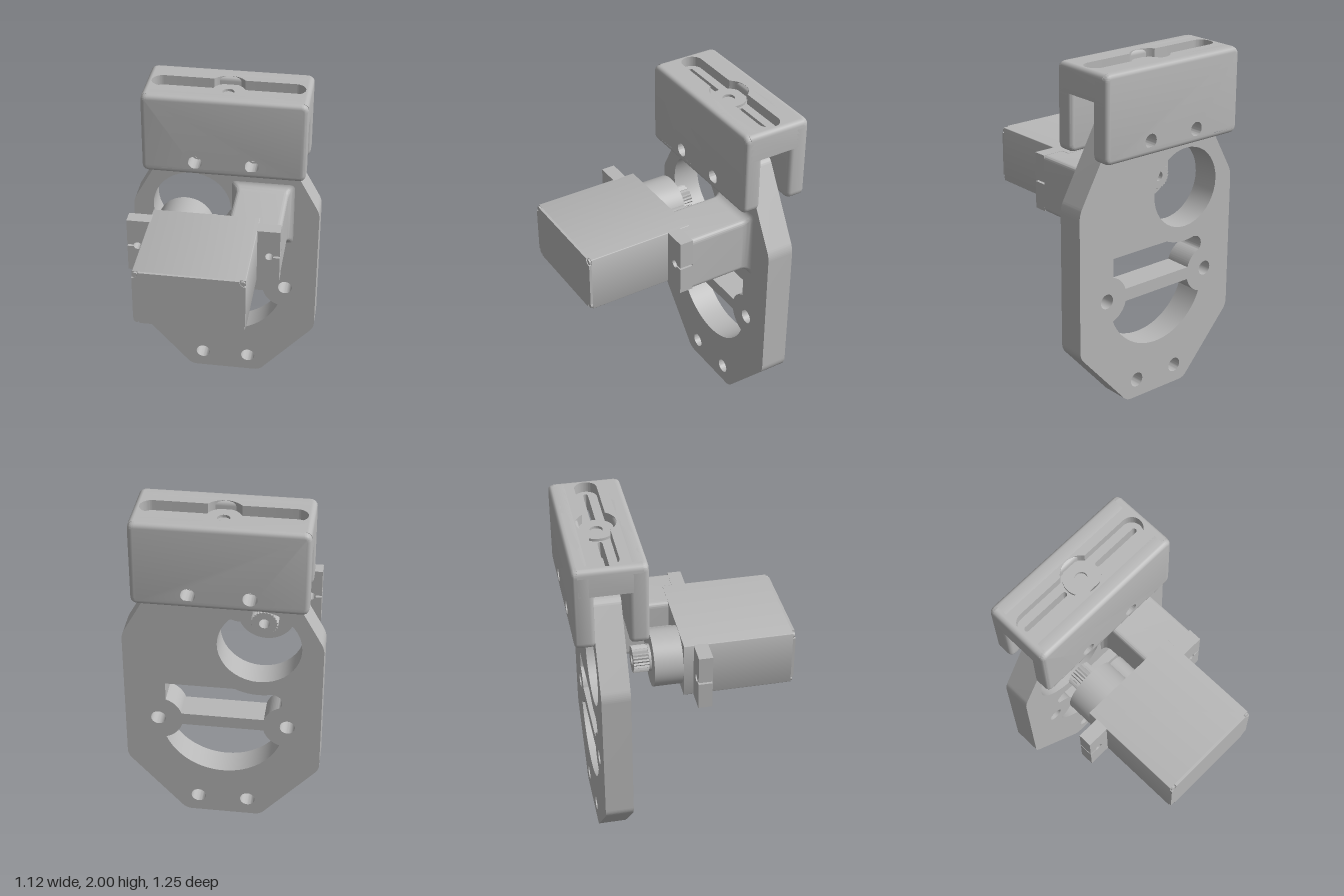
import * as THREE from 'three';
import { toCreasedNormals } from 'three/addons/utils/BufferGeometryUtils.js';

const PI = Math.PI;
const grey = new THREE.MeshStandardMaterial({ color: 0xb8b8b8 });
grey.name = 'grey';

// Closed polygon with softened corners
function softPoly(points, r) {
  const s = new THREE.Shape();
  const pts = points.map(([x, y]) => new THREE.Vector2(x, y));
  pts.forEach((p, i) => {
    const toward = (q) => p.clone().add(q.clone().sub(p).setLength(r));
    const a = toward(pts[(i + pts.length - 1) % pts.length]);
    const b = toward(pts[(i + 1) % pts.length]);
    if (i) s.lineTo(a.x, a.y); else s.moveTo(a.x, a.y);
    s.quadraticCurveTo(p.x, p.y, b.x, b.y);
  });
  s.closePath();
  return s;
}
const rect = (x0, y0, x1, y1, r) => softPoly([[x0, y0], [x1, y0], [x1, y1], [x0, y1]], r);
const circle = (x, y, r) => new THREE.Path().absarc(x, y, r, 0, 2 * PI, false);

// Stadium slot between x0 and x1 centred on y
function stadium(x0, x1, y, r) {
  return new THREE.Path().absarc(x0 + r, y, r, PI / 2, 1.5 * PI, false)
    .absarc(x1 - r, y, r, -PI / 2, PI / 2, false).closePath();
}

// Extrude a shape from z0 to z1
function extrude(shape, z0, z1, { bevel = 0, steps = 1 } = {}) {
  const g = new THREE.ExtrudeGeometry(shape, {
    depth: z1 - z0 - 2 * bevel, steps, curveSegments: 20,
    bevelEnabled: bevel > 0, bevelSize: bevel, bevelThickness: bevel, bevelOffset: -bevel, bevelSegments: 4,
  });
  return g.translate(0, 0, z0 + bevel);
}

// Move each vertex by a rule
function warp(g, rule) {
  const p = g.attributes.position, v = new THREE.Vector3();
  for (let i = 0; i < p.count; i++) {
    rule(v.fromBufferAttribute(p, i));
    p.setXYZ(i, v.x, v.y, v.z);
  }
  return g;
}

export function createModel() {
  const model = new THREE.Group();
  const add = (name, g) => {
    const m = new THREE.Mesh(toCreasedNormals(g, 0.6), grey);
    m.name = name;
    model.add(m);
    return m;
  };
  // Cylinder along z
  const rod = (name, x, y, r, z0, z1, sides = 40) =>
    add(name, new THREE.CylinderGeometry(r, r, z1 - z0, sides).rotateX(PI / 2).translate(x, y, (z0 + z1) / 2));

  // Main plate with its cut-outs
  const plate = softPoly([[-0.22, 0], [0.22, 0], [0.56, 0.38], [0.56, 1.23], [0.3, 1.7], [-0.3, 1.7],
    [-0.56, 1.23], [-0.56, 0.38]], 0.035);
  const upper = new THREE.Path();
  upper.moveTo(-0.07, 0.915);
  upper.lineTo(0.325, 0.915);
  upper.absarc(0.37, 0.67, 0.14, 1.897, 2.85, false);
  upper.absarc(-0.37, 0.67, 0.14, 0.29, 1.24, false);
  upper.absarc(-0.285, 0.838, 0.053, -2.4, PI / 2, true);
  upper.absarc(-0.205, 1.21, 0.325, -1.8, -1.17, false);
  upper.closePath();
  const lower = new THREE.Path();
  lower.absarc(-0.37, 0.67, 0.14, -0.25, -1.27, true);
  lower.absarc(0, 0.667, 0.352, -2.763, -0.378, false);
  lower.absarc(0.37, 0.67, 0.14, PI + 1.27, PI + 0.25, true);
  lower.closePath();
  plate.holes.push(circle(-0.205, 1.21, 0.235), upper, lower);
  for (const s of [-1, 1]) {
    plate.holes.push(circle(s * 0.37, 0.67, 0.043), circle(s * 0.145, 0.11, 0.043), circle(s * 0.165, 1.59, 0.04));
  }
  add('mainPlate', extrude(plate, -0.508, -0.345));

  // Cap walls: rounded edges, straight bolt holes
  for (const [name, z0, z1] of [['capFrontWall', -0.328, -0.22], ['capBackWall', -0.625, -0.513]]) {
    const wall = rect(-0.477, 1.51, 0.477, 2, 0.045);
    for (const s of [-1, 1]) wall.holes.push(circle(s * 0.165, 1.59, 0.04));
    add(name, warp(extrude(wall, z0, z1, { bevel: 0.025 }), (v) => {
      const dx = v.x - Math.sign(v.x) * 0.165, dy = v.y - 1.59, d = Math.hypot(dx, dy);
      if (d < 0.08) {
        v.x += dx * (0.04 / d - 1);
        v.y += dy * (0.04 / d - 1);
      }
    }));
  }

  // Cap top with pocket; its end edges are rounded
  const c = 0.423;
  const top = new THREE.Shape([[-0.477, 0.25], [0.477, 0.25], [0.477, 0.595], [-0.477, 0.595]]
    .map(([x, y]) => new THREE.Vector2(x, y)));
  const a = Math.asin(0.063 / 0.11);
  top.holes.push(new THREE.Path().absarc(0, c, 0.11, a, PI - a, false)
    .absarc(-0.381, c, 0.063, PI / 2, 1.5 * PI, false)
    .absarc(0, c, 0.11, PI + a, 2 * PI - a, false)
    .absarc(0.381, c, 0.063, -PI / 2, PI / 2, false).closePath());
  const topGeo = warp(extrude(top, 0, 5, { steps: 5 }), (v) => {
    const level = Math.round(v.z), t = (Math.max(level - 1, 0) * PI) / 8;
    v.z = level ? 1.97 + 0.03 * Math.sin(t) : 1.84;
    if (Math.abs(v.x) > 0.46) v.x = Math.sign(v.x) * (0.447 + 0.03 * Math.cos(t));
  });
  add('capTop', topGeo.rotateX(-PI / 2));

  // Pocket floor with two narrow slots
  const floor = rect(-0.46, 0.3, 0.46, 0.55, 0.01);
  floor.holes.push(stadium(0.11, 0.412, c, 0.014), stadium(-0.412, -0.11, c, 0.014));
  add('pocketFloor', extrude(floor, 1.842, 1.94).rotateX(-PI / 2));
  const disc = new THREE.Shape().absarc(0, c, 0.1, 0, 2 * PI, false);
  disc.holes.push(circle(0, c, 0.035));
  add('pocketDisc', extrude(disc, 1.93, 1.955).rotateX(-PI / 2));

  // Motor mount, flaring out where it meets the plate
  const r = 0.06;
  add('motorMount', warp(extrude(rect(0.065, 1.04, 0.375, 1.378, 0.03), 0, 9, { steps: 9 }), (v) => {
    const level = Math.round(v.z), t = (Math.min(level, 8) / 8) * (PI / 2);
    const flare = level > 8 ? 0 : r * 0.75 * (1 - Math.sin(t));
    v.x = Math.max(0.035, v.x + Math.sign(v.x - 0.22) * flare);
    v.y += Math.sign(v.y - 1.21) * flare;
    v.z = level > 8 ? 0.04 : -0.347 + r * (1 - Math.cos(t));
  }));

  // Motor body and end cover with notched corners
  const [x0, x1, y0, y1] = [-0.375, 0.245, 1.045, 1.38];
  add('motorBody', extrude(rect(x0, y0, x1, y1, 0.005), -0.015, 0.605));
  const cover = new THREE.Shape();
  const n = 0.034;
  cover.absarc(x0, y0, n, PI / 2, 0, true);
  cover.absarc(x1, y0, n, PI, PI / 2, true);
  cover.absarc(x1, y1, n, 1.5 * PI, PI, true);
  cover.absarc(x0, y1, n, 0, -PI / 2, true);
  cover.closePath();
  add('motorCover', extrude(cover, 0.604, 0.62));
  for (const x of [x0 + 0.018, x1 - 0.018]) {
    for (const y of [y0 + 0.018, y1 - 0.018]) rod('coverScrew', x, y, 0.016, 0.6, 0.616, 16);
  }

  // Mounting ears, each with a bolt hole opening to the outer edge
  for (const s of [-1, 1]) {
    const ear = new THREE.Shape();
    const mid = 1.2125, b = Math.asin(0.006 / 0.023);
    ear.moveTo(-0.01, y0);
    ear.lineTo(0.13, y0);
    ear.lineTo(0.13, mid - 0.006);
    ear.absarc(0.07, mid, 0.023, -b, -2 * PI + b, true);
    ear.lineTo(0.13, mid + 0.006);
    ear.lineTo(0.13, y1);
    ear.lineTo(-0.01, y1);
    ear.closePath();
    const g = extrude(ear, 0.04, 0.12);
    if (s < 0) g.translate(0, -mid, 0).rotateZ(PI).translate(0, mid, 0);
    add(s < 0 ? 'rightEar' : 'leftEar', g.translate(s < 0 ? x0 : x1, 0, 0));
  }

  // Gear housing and splined output shaft
  rod('gearHousing', -0.21, 1.2125, 0.165, -0.178, -0.01, 64);
  rod('idlerHousing', -0.045, 1.2125, 0.073, -0.167, -0.01);
  const spline = new THREE.Shape();
  for (let i = 0; i < 50; i++) {
    const q = (i / 50) * 2 * PI, d = i % 2 ? 0.07 : 0.078;
    spline[i ? 'lineTo' : 'moveTo'](-0.207 + d * Math.cos(q), 1.2125 + d * Math.sin(q));
  }
  spline.closePath();
  spline.holes.push(circle(-0.207, 1.2125, 0.03));
  add('outputShaft', extrude(spline, -0.28, -0.19));
  rod('shaftCollar', -0.207, 1.2125, 0.078, -0.192, -0.17);

  return model;
}
